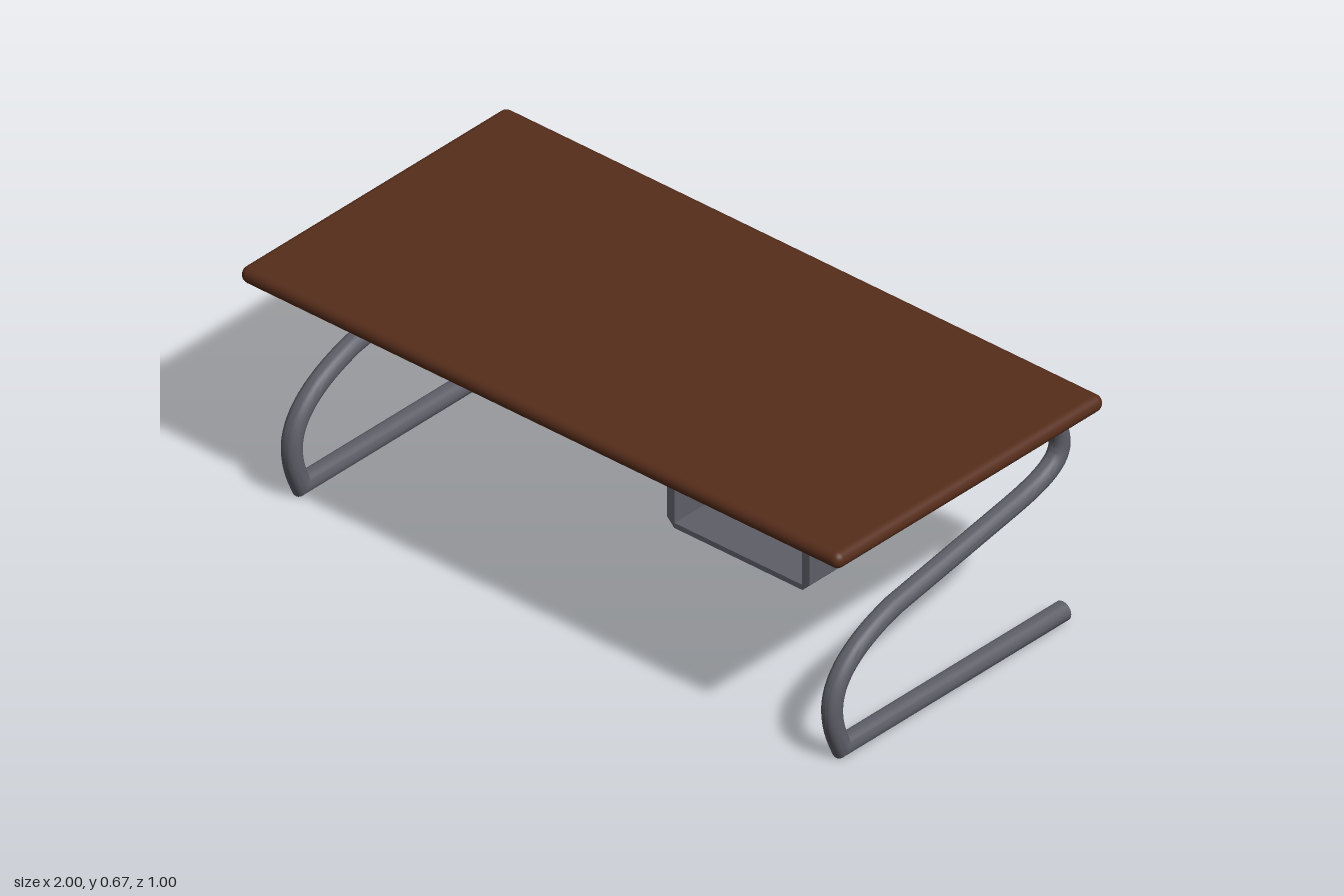
import * as THREE from 'three';
import { toCreasedNormals } from 'three/addons/utils/BufferGeometryUtils.js';
import { RoundedBoxGeometry } from 'three/addons/geometries/RoundedBoxGeometry.js';

const wood = new THREE.MeshStandardMaterial({ color: 0x562d1b });
const steel = new THREE.MeshStandardMaterial({ color: 0x5e5e68 });

function add(group, name, geometry, material, x = 0, y = 0, z = 0) {
  const mesh = new THREE.Mesh(geometry, material);
  mesh.name = name;
  mesh.position.set(x, y, z);
  group.add(mesh);
  return mesh;
}

// Round bar swept along a path in the (z, y) plane, mitred at corners, capped
function sweepBar(path, radius, sides = 20) {
  const pos = [], index = [], last = path.length - 1;
  path.forEach((p, i) => {
    const a = p.clone().sub(path[Math.max(i - 1, 0)]).normalize();
    const b = path[Math.min(i + 1, last)].clone().sub(p).normalize();
    const t = a.clone().add(b).normalize();
    const mitre = 1 / (i === 0 || i === last ? 1 : t.dot(b));
    for (let j = 0; j < sides; j++) {
      const angle = (j / sides) * Math.PI * 2;
      const v = Math.sin(angle) * radius * mitre;
      pos.push(Math.cos(angle) * radius, p.y + t.x * v, p.x - t.y * v);
    }
  });
  const start = pos.length / 3, end = start + 1;
  pos.push(0, path[0].y, path[0].x, 0, path[last].y, path[last].x);
  for (let j = 0; j < sides; j++) {
    const k = (j + 1) % sides;
    for (let i = 0; i < last; i++) {
      const r = i * sides, s = r + sides;
      index.push(r + j, r + k, s + j, r + k, s + k, s + j);
    }
    index.push(start, k, j, end, last * sides + j, last * sides + k);
  }
  const geometry = new THREE.BufferGeometry();
  geometry.setAttribute('position', new THREE.Float32BufferAttribute(pos, 3));
  geometry.setIndex(index);
  return toCreasedNormals(geometry, 0.6);
}

// Leg centre line as (z, y): floor bar, front bend, sloping strut, rear bend, top rail
function legPath() {
  const V = (z, y) => new THREE.Vector2(z, y);
  const bend = (a, b, c, d, n) => new THREE.CubicBezierCurve(a, b, c, d).getPoints(n);
  return [
    V(-0.435, 0.028),
    ...bend(V(0.395, 0.028), V(0.415, 0.07), V(0.428, 0.11), V(0.428, 0.15), 6),
    ...bend(V(0.428, 0.15), V(0.428, 0.245), V(0.34, 0.31), V(0.2, 0.35), 14).slice(1),
    ...bend(V(-0.24, 0.431), V(-0.37, 0.455), V(-0.422, 0.485), V(-0.422, 0.535), 12),
    ...bend(V(-0.422, 0.535), V(-0.422, 0.585), V(-0.385, 0.63), V(-0.31, 0.63), 12).slice(1),
    V(0.425, 0.63),
  ];
}

// Open-fronted shelf box: U-shaped trough with chamfered lower edges plus a back wall
function createShelfBox() {
  const group = new THREE.Group();
  group.name = 'shelfBox';
  const w = 0.2375, h = 0.147, wall = 0.025, floor = 0.015, cut = 0.024;
  const profile = new THREE.Shape([
    [-w, h], [-w, cut], [-w + cut, 0], [w - cut, 0], [w, cut], [w, h],
    [w - wall, h], [w - wall, floor], [-w + wall, floor], [-w + wall, h],
  ].map(([x, y]) => new THREE.Vector2(x, y)));
  const trough = new THREE.ExtrudeGeometry(profile, { depth: 0.395, bevelEnabled: false });
  add(group, 'shelfTrough', trough, steel);
  const back = new THREE.BoxGeometry(2 * (w - wall), h - floor, 0.02);
  add(group, 'shelfBack', back, steel, 0, (h + floor) / 2, 0.01);
  group.position.set(0.6225, 0.482, 0.055);
  return group;
}

export function createModel() {
  const model = new THREE.Group();
  model.name = 'desk';

  // Table top with rounded edges
  add(model, 'tableTop', new RoundedBoxGeometry(2, 0.048, 1, 4, 0.0235), wood, 0, 0.649, 0);

  // Bent tube legs
  const leg = sweepBar(legPath(), 0.0275);
  add(model, 'leftLeg', leg, steel, 0.915);
  add(model, 'rightLeg', leg, steel, -0.885);

  // Storage under the top
  model.add(createShelfBox());
  return model;
}
